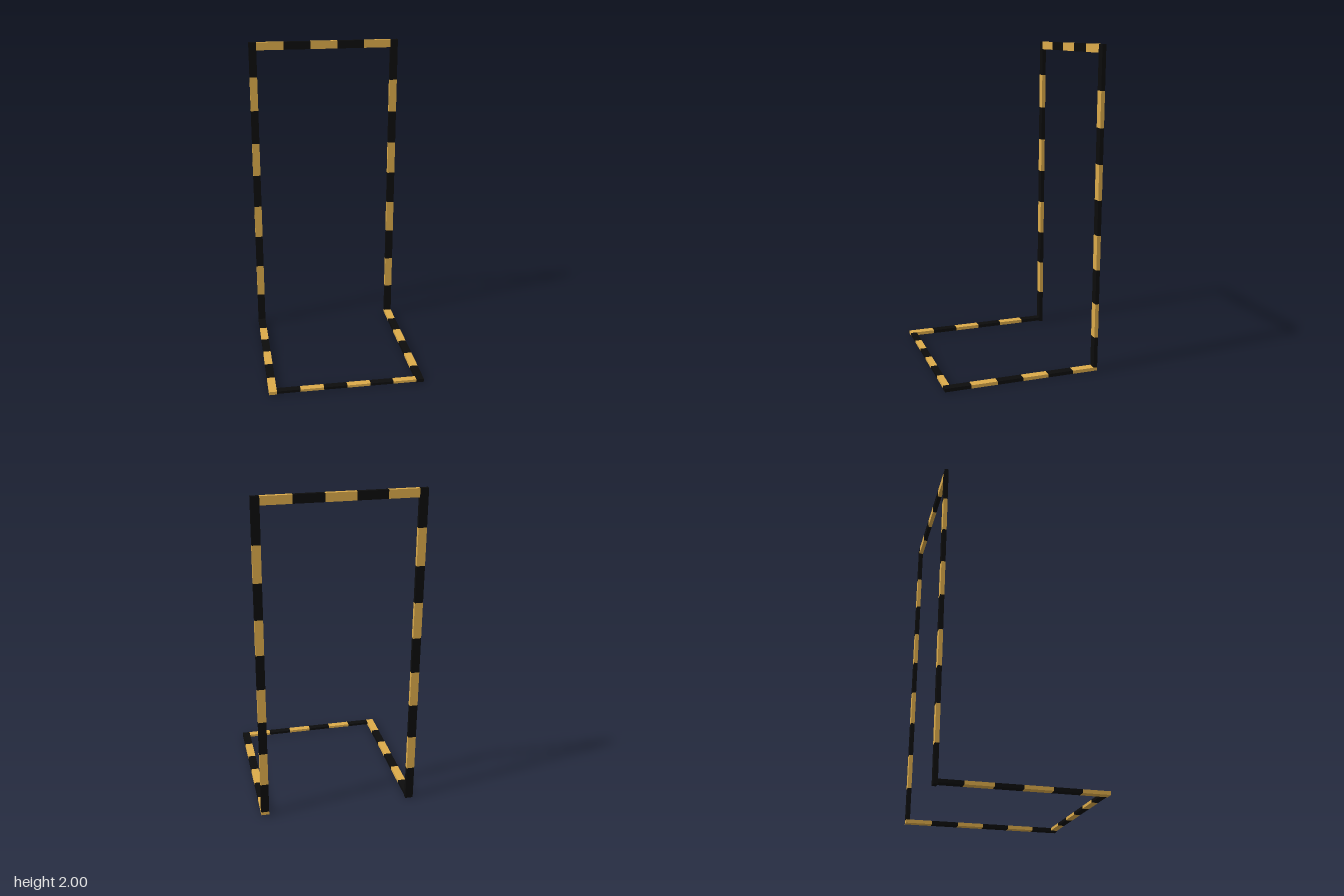
import * as THREE from 'three';

const yellow = new THREE.MeshStandardMaterial({ color: 0xdcab4a });
const black = new THREE.MeshStandardMaterial({ color: 0x0c0c0c });

// A striped flat bar filling the box min..max, cut along one axis at the given stops
function stripedBar(name, min, max, axis, stops, firstBlack) {
  const bar = new THREE.Group();
  bar.name = name;
  for (let i = 0; i < stops.length - 1; i++) {
    const a = [...min], b = [...max];
    a[axis] = stops[i];
    b[axis] = stops[i + 1];
    const isBlack = (i % 2 === 0) === firstBlack;
    const stripe = new THREE.Mesh(
      new THREE.BoxGeometry(b[0] - a[0], b[1] - a[1], b[2] - a[2]),
      isBlack ? black : yellow
    );
    stripe.position.set((a[0] + b[0]) / 2, (a[1] + b[1]) / 2, (a[2] + b[2]) / 2);
    stripe.name = isBlack ? 'blackStripe' : 'yellowStripe';
    bar.add(stripe);
  }
  return bar;
}

// Evenly spaced stripe boundaries
const even = (from, to, n) => Array.from({ length: n + 1 }, (_, i) => from + ((to - from) * i) / n);

export function createModel() {
  const model = new THREE.Group();
  model.name = 'stripedFrame';

  const outer = 0.487, inner = 0.438;   // half width of the frame, outside and inside
  const back = -0.49, postFront = -0.466, front = 0.487;
  const floorTop = 0.028;

  // Upright posts: the left one stands on the floor bar and ends in a longer top stripe
  const leftStops = even(0.01, 1.735, 8);
  leftStops[0] = floorTop;
  leftStops.push(2);
  model.add(
    stripedBar('rightPost', [-outer, 0, back], [-inner, 2, postFront], 1, even(0, 2, 9), true),
    stripedBar('leftPost', [inner, 0, back], [outer, 2, postFront], 1, leftStops, true)
  );

  // Top crossbar between the posts
  model.add(stripedBar('topBar', [-inner, 1.95, back], [inner, 2, postFront], 0, even(-inner, inner, 5), false));

  // Floor bars: two sides and the front; the right one meets its post at the back
  const rightStops = even(back, front, 6);
  rightStops[0] = postFront;
  model.add(
    stripedBar('rightFloorBar', [-outer, 0.007, 0], [-inner, floorTop, 0], 2, rightStops, true),
    stripedBar('leftFloorBar', [inner, 0.007, 0], [outer, floorTop, 0], 2, even(back, front, 6), false),
    stripedBar('frontFloorBar', [-inner, 0.012, 0.447], [inner, floorTop, front], 0, even(-inner, inner, 6), true)
  );

  return model;
}
